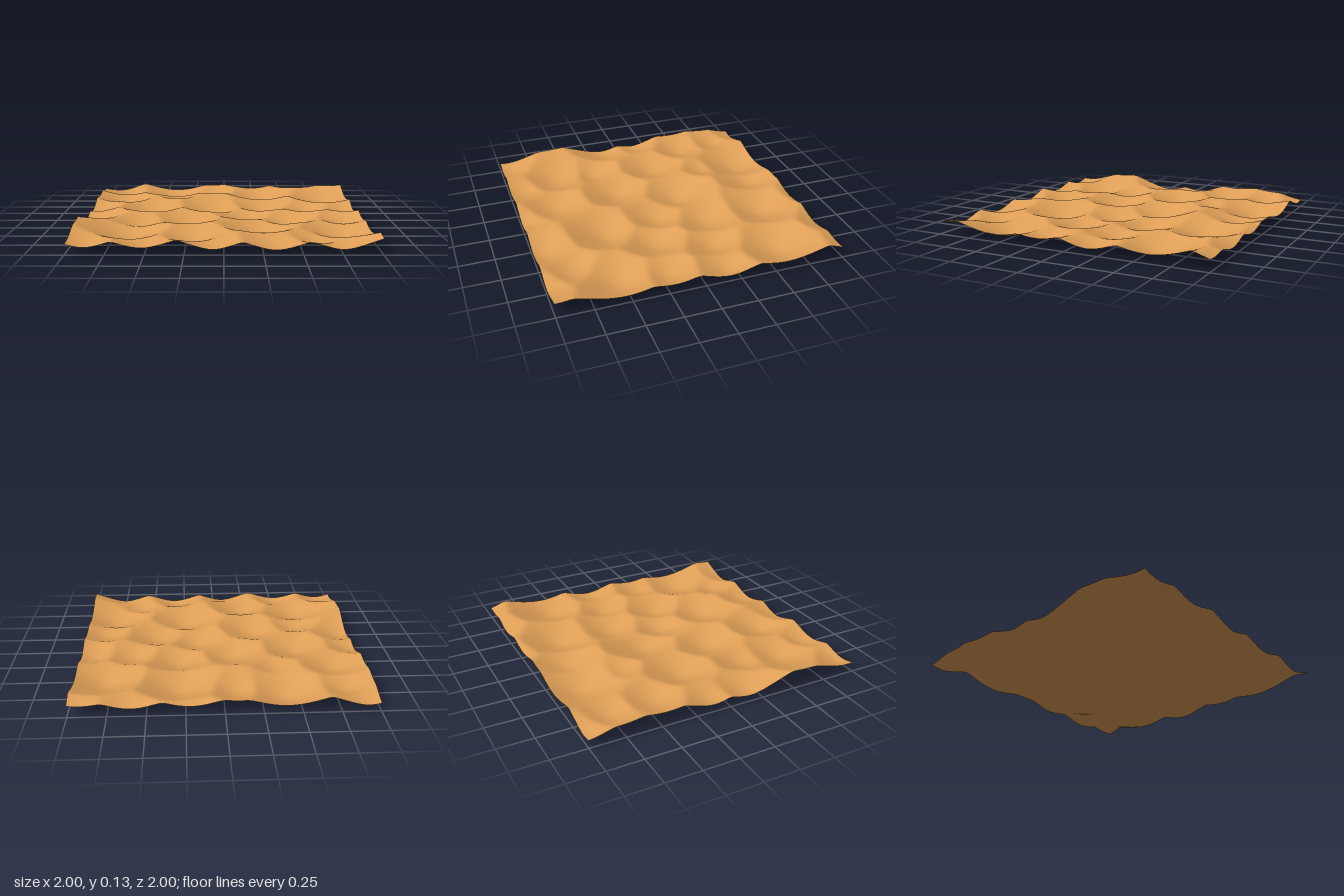
import * as THREE from 'three';

// Lowest point of each scooped hollow (x, z) and its floor height
const HOLLOWS = [
  // back rows
  [-0.92, -1.02, 0.045], [-0.8, -0.78, 0.048], [-0.4, -0.82, 0.01], [-0.09, -0.79, 0.04],
  [0.22, -1.13, 0.035], [0.3, -0.7, 0.012], [0.6, -1.1, 0.035], [0.8, -0.58, 0.01], [0.92, -1.17, 0.035],
  // middle rows
  [-0.78, -0.46, 0.042], [-0.37, -0.5, 0.07], [-0.07, -0.18, 0.018], [0.3, -0.27, 0.012],
  [0.63, -0.19, 0.025], [0.92, -0.17, 0.03], [-0.96, -0.12, 0.05], [-0.54, -0.13, 0.03],
  [-0.94, 0.15, 0.038], [-0.59, 0.33, 0.038], [-0.26, 0.24, 0.02], [0.16, 0.06, 0.015],
  [0.46, 0.18, 0.012], [0.85, 0.22, 0.03],
  // front rows
  [-0.63, 0.63, 0.015], [-0.21, 0.73, 0.025], [0.25, 0.47, 0.01], [0.8, 0.55, 0.002],
  [-0.88, 0.95, 0.045], [-0.52, 0.92, 0.035], [-0.07, 1.0, 0.038], [0.33, 0.94, 0.027],
  [0.62, 0.79, 0.03], [0.75, 1.01, 0.038],
];
const SLOPE = 0.38;
const ROUNDING = 0.077;
const SHARPNESS = 160;

// Each hollow is a rounded cone; neighbours meet in slightly softened ridges
function height(x, z) {
  let sum = 0;
  for (const [hx, hz, floor] of HOLLOWS) {
    const rise = SLOPE * (Math.hypot(x - hx, z - hz, ROUNDING) - ROUNDING);
    sum += Math.exp(-SHARPNESS * (floor + rise));
  }
  return -Math.log(sum) / SHARPNESS;
}

export function createModel() {
  const group = new THREE.Group();

  // Sand sheet: a fine grid raised by the hollows
  const geometry = new THREE.PlaneGeometry(2, 2, 128, 128).rotateX(-Math.PI / 2);
  const pos = geometry.attributes.position;
  for (let i = 0; i < pos.count; i++) {
    pos.setY(i, height(pos.getX(i), pos.getZ(i)));
  }
  geometry.computeVertexNormals();

  const sand = new THREE.Mesh(
    geometry,
    new THREE.MeshStandardMaterial({ color: 0xe0a057, side: THREE.DoubleSide })
  );
  sand.name = 'rippledSandSurface';
  group.add(sand);
  return group;
}
